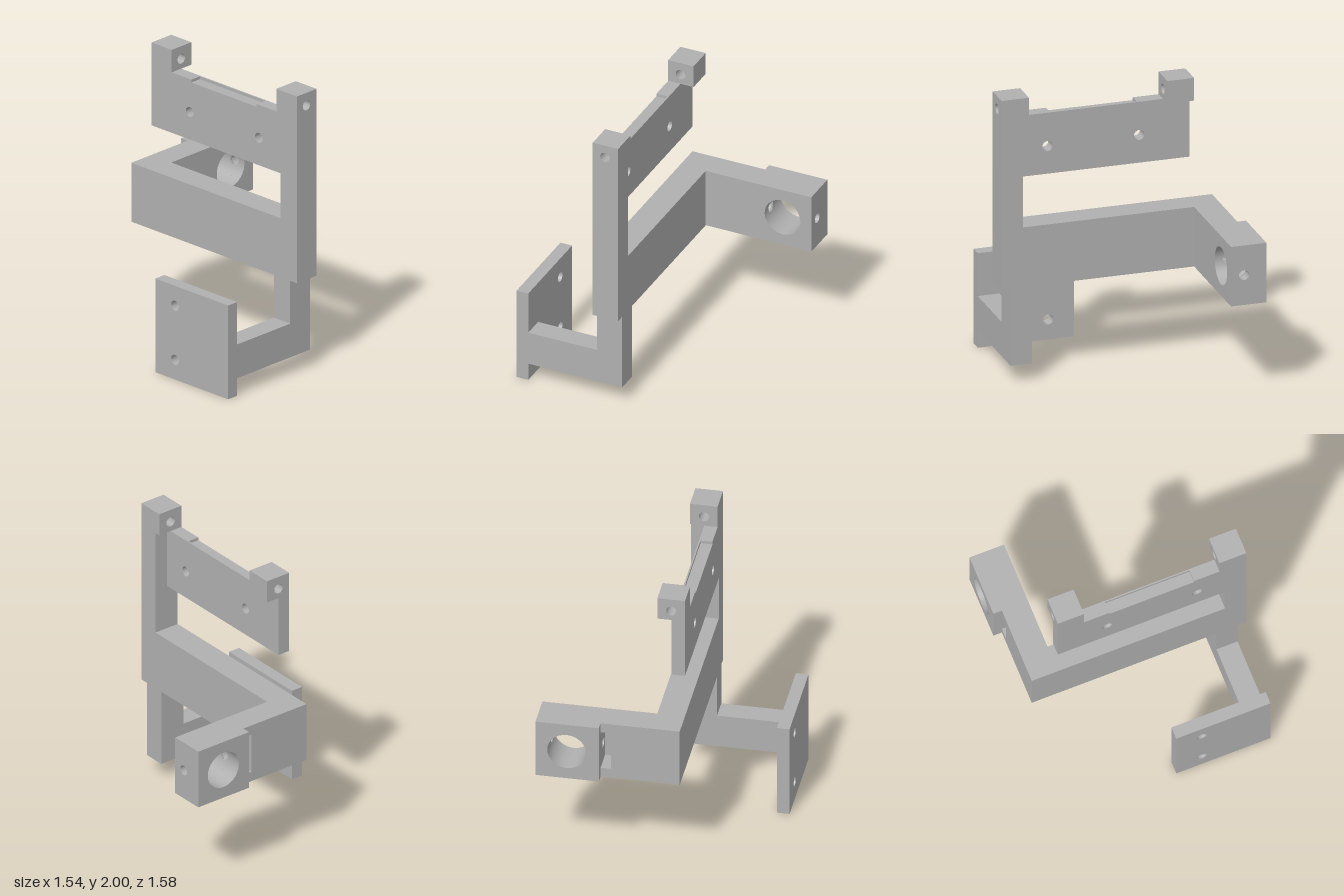
import * as THREE from 'three';
import { toCreasedNormals } from 'three/addons/utils/BufferGeometryUtils.js';

export function createModel() {
  const model = new THREE.Group();
  const grey = new THREE.MeshStandardMaterial({ color: 0xb0b0b0 });

  const circle = (u, v, r) => new THREE.Path().absarc(u, v, r, 0, Math.PI * 2, false);
  const rect = (u0, u1, v0, v1) => [[u0, v0], [u1, v0], [u1, v1], [u0, v1]];

  function add(name, geometry) {
    const mesh = new THREE.Mesh(toCreasedNormals(geometry, 0.5), grey);
    mesh.name = name;
    model.add(mesh);
  }
  function solid(points, holes, depth) {
    const shape = new THREE.Shape(points.map(([u, v]) => new THREE.Vector2(u, v)));
    holes.forEach(([u, v, r]) => shape.holes.push(circle(u, v, r)));
    return new THREE.ExtrudeGeometry(shape, { depth, bevelEnabled: false, curveSegments: 32 });
  }
  // Outline in (x, y), running from z0 to z1
  function alongZ(name, points, holes, z0, z1) {
    add(name, solid(points, holes, z1 - z0).translate(0, 0, z0));
  }
  // Outline in (z, y), running from x0 to x1
  function alongX(name, points, holes, x0, x1) {
    const flip = ([z, ...rest]) => [-z, ...rest];
    add(name, solid(points.map(flip), holes.map(flip), x1 - x0).rotateY(Math.PI / 2).translate(x0, 0, 0));
  }

  const R = 0.035; // screw hole radius
  const L = -0.185; // right side of the frame; its left side is x = 0
  const back = -0.545;

  // Front column and long side arm in one piece
  alongX('mainFrame', [[0.79, 0.67], [-0.73, 0.67], [-0.73, 1.09], [0.64, 1.09], [0.64, 1.84], [0.79, 1.84]], [], L, 0);

  // Drilled blocks at the top of the column and at the far end of the upper plate
  for (const [name, z0, z1] of [['frontTopBlock', 0.6, 0.79], ['rearTopBlock', back, -0.36]]) {
    alongZ(name, rect(L, 0, 1.84, 2), [[-0.095, 1.91, R]], z0, z1);
  }

  // Upper plate: shallow notch along its top, backed by a thin wall
  const plateHoles = [[0.44, 1.605, R], [-0.195, 1.605, R]];
  alongX('upperPlate', [[back, 1.41], [0.64, 1.41], [0.64, 1.84], [0.42, 1.84], [0.42, 1.82],
    [-0.18, 1.82], [-0.18, 1.84], [back, 1.84]], plateHoles, L, -0.105);
  alongX('upperPlateWall', rect(back, 0.64, 1.41, 1.84), plateHoles, -0.105, -0.095);

  // Lower L-shaped bracket and its mounting plate
  alongZ('lowerBracket', [[-0.685, 0.125], [0, 0.125], [0, 0.67], [L, 0.67], [L, 0.365], [-0.685, 0.365]], [], 0.578, 0.728);
  alongX('mountingPlate', rect(0.06, 0.728, 0, 0.667), [[0.24, 0.525, R], [0.24, 0.14, R]], -0.77, -0.685);

  // Rear arm, with a nut pocket in its back beside the end block
  alongX('rearArm', rect(-0.73, back, 0.67, 1.09), [], 0, 0.275);
  alongX('nutPocket', [[-0.73, 0.67], [back, 0.67], [back, 1.09], [-0.73, 1.09],
    [-0.73, 1.02], [-0.57, 1.02], [-0.57, 0.74], [-0.73, 0.74]], [], 0.275, 0.345);

  // End block: drilled cheeks either side of the bored core
  const cx = 0.56, cy = 0.88, bore = 0.13, zHole = -0.635, x0 = 0.42, x1 = 0.7;
  for (const [a, b] of [[0.345, x0], [x1, 0.77]]) {
    alongX('endBlockCheek', rect(-0.79, back, 0.67, 1.09), [[zHole, cy, R]], a, b);
  }
  for (const [a, b] of [[-0.79, zHole - R], [zHole + R, back]]) {
    alongZ('endBlockCore', rect(x0, x1, 0.67, 1.09), [[cx, cy, bore]], a, b);
  }

  // Thin slices where the cross hole meets the bore, each split by the hole's height there
  const slices = 10;
  for (let i = 0; i < slices; i++) {
    const za = zHole - R + (2 * R * i) / slices;
    const zb = za + (2 * R) / slices;
    const h = Math.sqrt(R * R - ((za + zb) / 2 - zHole) ** 2);
    const start = Math.asin(h / bore);
    for (const side of [1, -1]) {
      const points = [[x0, cy + side * 0.21], [x0, cy + side * h]];
      for (let k = 0; k <= 32; k++) {
        const a = Math.PI - start - ((Math.PI - 2 * start) * k) / 32;
        points.push([cx + bore * Math.cos(a), cy + side * bore * Math.sin(a)]);
      }
      points.push([x1, cy + side * h], [x1, cy + side * 0.21]);
      alongZ('endBlockCoreSlice', points, [], za, zb);
    }
  }
  return model;
}
